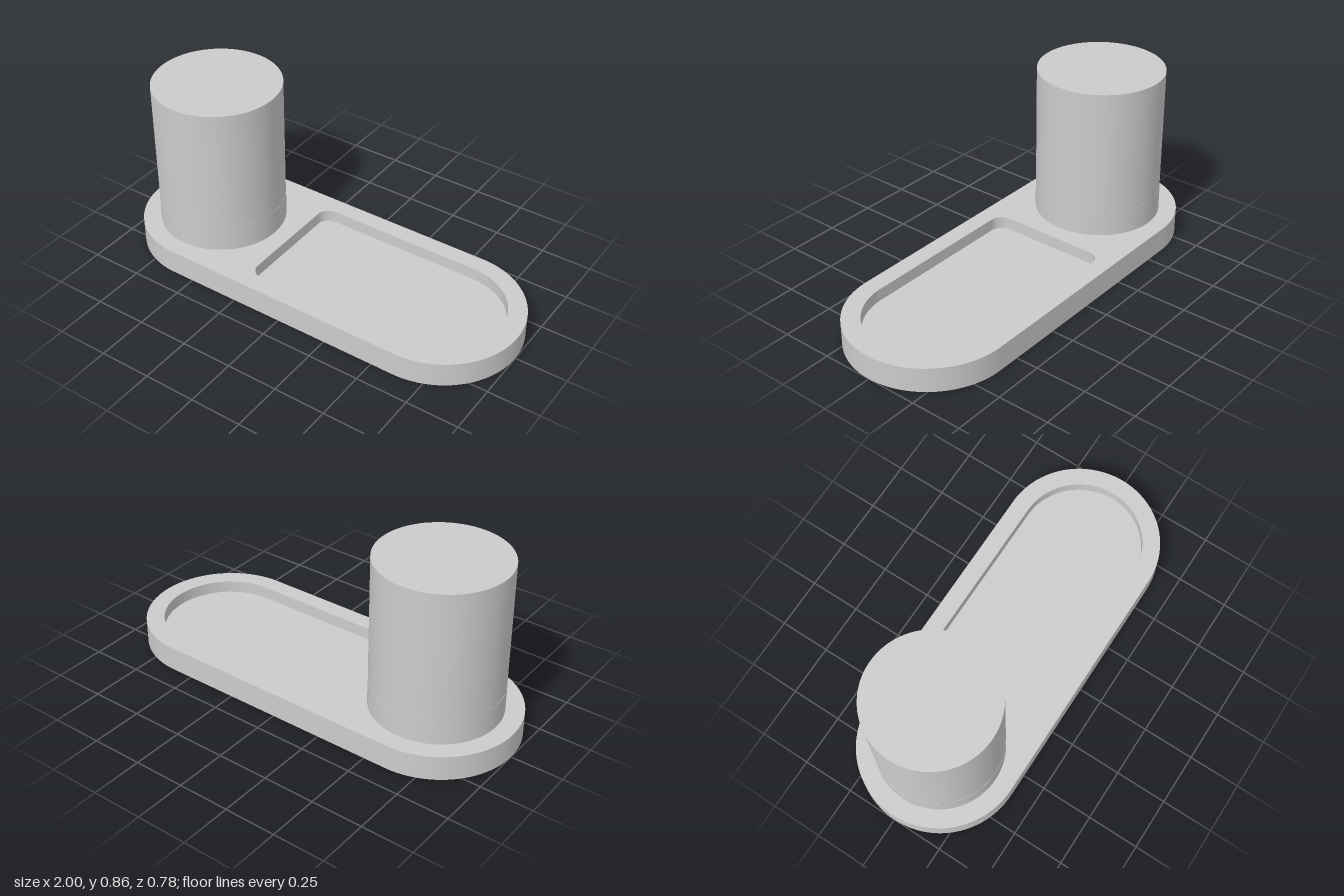
import * as THREE from 'three';
import { toCreasedNormals } from 'three/addons/utils/BufferGeometryUtils.js';

const BASE_R = 0.39, END_X = 0.61, BASE_H = 0.12, FLOOR_H = 0.06;
const POST_R = 0.303, POST_TOP = 0.855, COLLAR_TOP = 0.245;

// Plan outline with two fully rounded ends
function baseOutline() {
  const s = new THREE.Shape();
  s.absarc(END_X, 0, BASE_R, -Math.PI / 2, Math.PI / 2, false);
  s.absarc(-END_X, 0, BASE_R, Math.PI / 2, Math.PI * 1.5, false);
  s.closePath();
  return s;
}

// Pocket outline: one fully rounded end, one straight end with small corner radii
function pocketOutline() {
  const r = 0.303, c = 0.06, x0 = -0.22;
  const p = new THREE.Path();
  p.absarc(END_X, 0, r, -Math.PI / 2, Math.PI / 2, false);
  p.absarc(x0 + c, r - c, c, Math.PI / 2, Math.PI, false);
  p.absarc(x0 + c, -r + c, c, Math.PI, Math.PI * 1.5, false);
  p.closePath();
  return p;
}

export function createModel() {
  const model = new THREE.Group();
  const material = new THREE.MeshStandardMaterial({ color: 0xcccccc });

  function add(name, geometry, x = 0, y = 0) {
    const mesh = new THREE.Mesh(geometry, material);
    mesh.name = name;
    mesh.position.set(x, y, 0);
    model.add(mesh);
  }

  // Upright extrusion of a plan shape with smooth rounded walls
  function slab(shape, height) {
    const g = new THREE.ExtrudeGeometry(shape, { depth: height, bevelEnabled: false, curveSegments: 48 });
    g.rotateX(-Math.PI / 2);
    return toCreasedNormals(g, Math.PI / 6);
  }

  // Base plate: solid floor plus upper layer cut by the pocket
  add('baseFloor', slab(baseOutline(), FLOOR_H));
  const upper = baseOutline();
  upper.holes.push(pocketOutline());
  add('baseRim', slab(upper, BASE_H - FLOOR_H), 0, FLOOR_H);

  // Post standing on the plate, with its very slightly wider foot
  const post = (r, y0, y1) => new THREE.CylinderGeometry(r, r, y1 - y0, 96).translate(0, (y0 + y1) / 2, 0);
  add('postFoot', post(POST_R + 0.001, BASE_H, COLLAR_TOP), -END_X);
  add('post', post(POST_R, COLLAR_TOP, POST_TOP), -END_X);

  return model;
}
